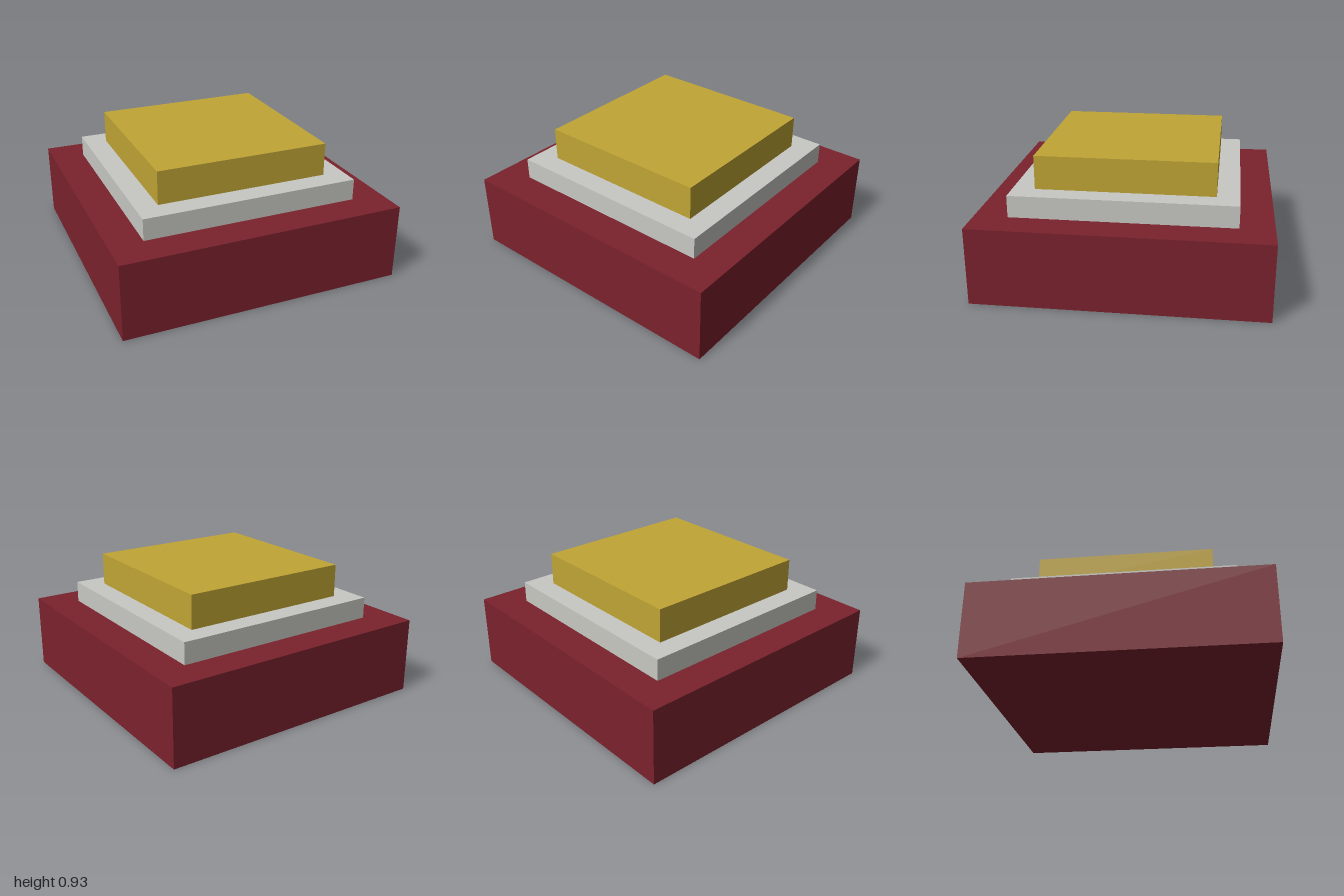
import * as THREE from 'three';

const red = new THREE.MeshStandardMaterial({ name: 'dark red', color: 0x7b222d });
const grey = new THREE.MeshStandardMaterial({ name: 'light grey', color: 0xc8c8c3 });
const gold = new THREE.MeshStandardMaterial({ name: 'gold', color: 0xc0a535 });

export function createModel() {
  const model = new THREE.Group();
  model.name = 'steppedPushButton';

  // Square tiers stacked from the ground up: name, width, bottom, top, material
  const tiers = [
    ['base', 2, 0, 0.54, red],
    ['collar', 1.535, 0.54, 0.692, grey],
    ['buttonCap', 1.227, 0.692, 0.927, gold],
  ];
  for (const [name, width, bottom, top, material] of tiers) {
    const mesh = new THREE.Mesh(new THREE.BoxGeometry(width, top - bottom, width), material);
    mesh.name = name;
    mesh.position.y = (bottom + top) / 2;
    model.add(mesh);
  }
  return model;
}
